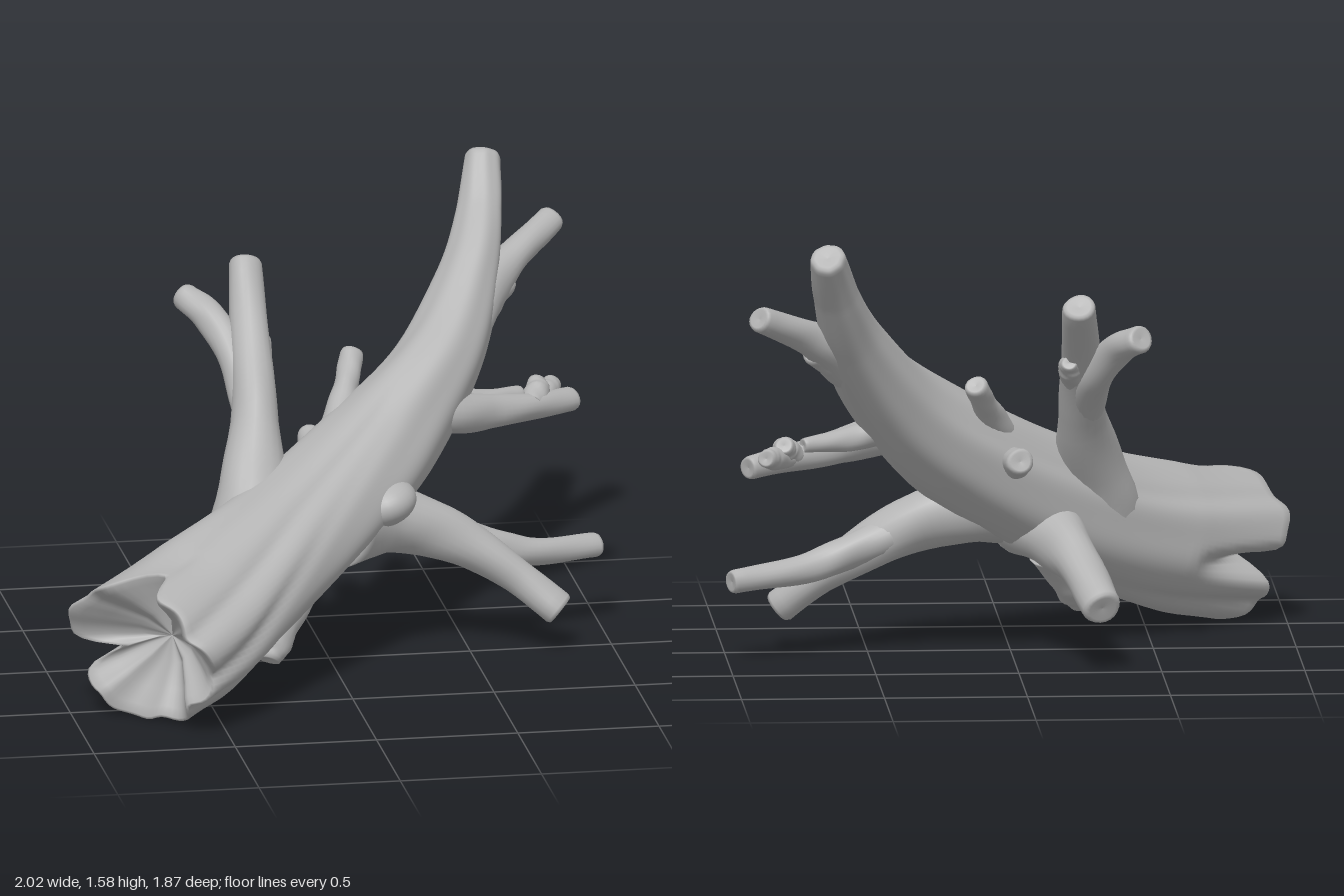
import * as THREE from 'three';

const UP = new THREE.Vector3(0, 1, 0);

// Sweeps rings along points [x, y, z, radius].
// shape(angle, u) returns { r: radius factor, push: shift along the path, squash: height factor }.
function loft(pts, { sides = 20, rows = 26, shape, startCap = [[0, 0]] }) {
  const curve = new THREE.CatmullRomCurve3(pts.map(p => new THREE.Vector3(p[0], p[1], p[2])));
  const radius = u => {
    const f = u * (pts.length - 1), i = Math.min(Math.floor(f), pts.length - 2);
    return THREE.MathUtils.lerp(pts[i][3], pts[i + 1][3], f - i);
  };
  // each ring: [u, scale, shift along the path]
  const rings = startCap.map(c => [0, ...c]);
  for (let i = 0; i <= rows; i++) rings.push([i / rows, 1, 0]);
  rings.push([1, 0.9, 0.012], [1, 0.7, 0.014], [1, 0.001, 0.008]);

  const pos = [], index = [];
  for (const [u, scale, shift] of rings) {
    const c = curve.getPoint(u), t = curve.getTangent(u);
    const side = new THREE.Vector3().crossVectors(t, UP).normalize();
    const n = new THREE.Vector3().crossVectors(side, t);
    for (let j = 0; j < sides; j++) {
      const a = j / sides * Math.PI * 2, s = shape(a, u), r = radius(u) * s.r * scale;
      const v = c.clone().addScaledVector(side, r * Math.cos(a))
        .addScaledVector(n, r * Math.sin(a) * s.squash)
        .addScaledVector(t, shift + s.push * Math.min(1, scale * 1.1));
      pos.push(v.x, v.y, v.z);
    }
  }
  for (let i = 0; i < rings.length - 1; i++) {
    for (let j = 0; j < sides; j++) {
      const a = i * sides + j, b = i * sides + (j + 1) % sides;
      index.push(a, a + sides, b, b, a + sides, b + sides);
    }
  }
  const g = new THREE.BufferGeometry();
  g.setAttribute('position', new THREE.Float32BufferAttribute(pos, 3));
  g.setIndex(index);
  g.computeVertexNormals();
  return g;
}

const angleGap = (a, b) => Math.atan2(Math.sin(a - b), Math.cos(a - b));
const dip = (a, b, w) => Math.exp(-((angleGap(a, b) / w) ** 2));
const smooth = THREE.MathUtils.smoothstep;

// Bark grooves: [angle at base, twist, depth, width, reach along trunk]
const GROOVES = [
  [1.5, 0.5, 0.07, 0.14, 0.3], [3.35, 0.3, 0.55, 0.16, 0.14], [-0.2, 1.2, 0.1, 0.13, 0.45],
  [-0.75, 0.9, 0.12, 0.16, 0.3], [-1.5, 0.6, 0.1, 0.15, 0.3], [-2.3, 0.4, 0.1, 0.14, 0.35],
  [0.5, 0.8, 0.06, 0.12, 0.7], [2.4, 0.5, 0.05, 0.14, 0.6], [0.75, 0, 0.08, 0.5, 0.25],
];

function trunkShape(a, u) {
  let r = 1 + 0.025 * Math.sin(3 * a + 7 * u) + 0.015 * Math.sin(8 * a - 9 * u) + 0.02 * Math.sin(2 * a + 23 * u);
  for (const [at, twist, depth, width, reach] of GROOVES) {
    r -= depth * dip(a, at + twist * u * 2, width) * Math.max(0, 1 - u / reach);
  }
  // bark broken away underneath
  r -= 0.2 * dip(a, -1.1, 0.65) * smooth(u, 0.07, 0.18) * (1 - smooth(u, 0.28, 0.45));
  // splintered end
  const fade = Math.max(0, 1 - u / 0.14);
  const jag = -0.04 + 0.16 * dip(a, 1.5, 0.22) + 0.1 * dip(a, 3.35, 0.2) + 0.08 * dip(a, -0.2, 0.25)
    + 0.07 * dip(a, -1.4, 0.6) + 0.012 * Math.sin(9 * a);
  return { r, push: jag * fade, squash: THREE.MathUtils.lerp(0.86, 1, Math.min(1, u * 2.5)) };
}

// Gentle knots on the branches
const branchShape = (a, u) => ({
  r: 1 + 0.04 * Math.sin(2 * a + 9 * u) + 0.025 * Math.sin(3 * a - 17 * u), push: 0, squash: 1,
});

const BRANCHES = {
  backBranch: [[-0.31, 0.45, 0.2, 0.17], [-0.28, 0.64, 0.07, 0.125], [-0.245, 0.85, -0.1, 0.088],
    [-0.23, 1.06, -0.28, 0.068], [-0.21, 1.3, -0.52, 0.057]],
  backBranchFork: [[-0.25, 0.86, -0.13, 0.06], [-0.28, 1.02, -0.3, 0.062], [-0.35, 1.14, -0.43, 0.055], [-0.42, 1.19, -0.53, 0.05]],
  backBranchKnot: [[-0.22, 1.0, -0.24, 0.05], [-0.19, 1.06, -0.33, 0.045], [-0.185, 1.08, -0.37, 0.03]],
  upperTwig: [[0.04, 0.78, -0.1, 0.065], [0.1, 0.91, -0.25, 0.045], [0.14, 1.0, -0.36, 0.04]],
  backStub: [[0.05, 0.65, -0.05, 0.08], [0.0, 0.7, -0.2, 0.055], [-0.015, 0.725, -0.31, 0.047]],
  topFork: [[0.47, 0.97, -0.37, 0.11], [0.6, 1.12, -0.5, 0.09], [0.75, 1.23, -0.65, 0.06], [0.92, 1.32, -0.81, 0.047]],
  topForkKnot: [[0.54, 1.02, -0.42, 0.07], [0.65, 1.12, -0.53, 0.058], [0.72, 1.165, -0.6, 0.045]],
  middleBranch: [[0.36, 0.86, -0.22, 0.1], [0.46, 0.82, -0.22, 0.08], [0.62, 0.785, -0.31, 0.058],
    [0.79, 0.765, -0.41, 0.048], [0.94, 0.75, -0.52, 0.043]],
  middleRidge: [[0.38, 0.87, -0.26, 0.06], [0.55, 0.82, -0.32, 0.045], [0.74, 0.81, -0.42, 0.028]],
  middleNub: [[0.78, 0.77, -0.4, 0.045], [0.815, 0.8, -0.46, 0.046], [0.82, 0.82, -0.5, 0.034]],
  middleOuterNub: [[0.8, 0.765, -0.42, 0.04], [0.86, 0.78, -0.52, 0.04], [0.885, 0.79, -0.58, 0.033]],
  lowerBranch: [[0.02, 0.53, 0.1, 0.16], [0.18, 0.51, 0.0, 0.13], [0.34, 0.465, -0.03, 0.1],
    [0.5, 0.385, -0.03, 0.08], [0.66, 0.28, 0.0, 0.063], [0.8, 0.165, 0.05, 0.061]],
  lowerBranchFork: [[0.38, 0.45, -0.04, 0.075], [0.55, 0.38, -0.07, 0.062], [0.72, 0.325, -0.12, 0.051], [0.98, 0.3, -0.24, 0.043]],
  underBranch: [[-0.06, 0.47, 0.12, 0.15], [-0.15, 0.42, -0.07, 0.108], [-0.225, 0.35, -0.27, 0.08], [-0.29, 0.24, -0.5, 0.066]],
  underNub: [[-0.16, 0.34, 0.2, 0.09], [-0.22, 0.22, 0.27, 0.07], [-0.25, 0.16, 0.31, 0.062], [-0.265, 0.125, 0.33, 0.045]],
};

export function createModel() {
  const model = new THREE.Group();
  model.name = 'fallenLog';
  const wood = new THREE.MeshStandardMaterial({ color: 0xb4b4b4 });
  wood.name = 'greyWood';
  const add = (name, geometry) => {
    const mesh = new THREE.Mesh(geometry, wood);
    mesh.name = name;
    model.add(mesh);
    return mesh;
  };

  // Trunk, with a broken, hollowed end
  add('trunk', loft([
    [-0.765, 0.275, 0.69, 0.32], [-0.5, 0.34, 0.46, 0.295], [-0.2, 0.48, 0.2, 0.25], [0.2, 0.74, -0.13, 0.195],
    [0.44, 0.97, -0.34, 0.152], [0.585, 1.2, -0.55, 0.11], [0.655, 1.39, -0.73, 0.078], [0.69, 1.54, -0.87, 0.062],
  ], {
    sides: 96, rows: 90, shape: trunkShape,
    startCap: [[0.001, 0.15], [0.35, 0.12], [0.65, 0.06], [0.85, 0.015], [0.96, -0.003]],
  }));

  // Branches, twigs and stubs
  for (const [name, pts] of Object.entries(BRANCHES)) add(name, loft(pts, { shape: branchShape }));

  // Burl on the front side
  const burl = add('burl', new THREE.SphereGeometry(1, 28, 20));
  burl.scale.set(0.115, 0.08, 0.12);
  burl.position.set(0.18, 0.595, 0.095);
  burl.rotation.z = 0.3;

  return model;
}
